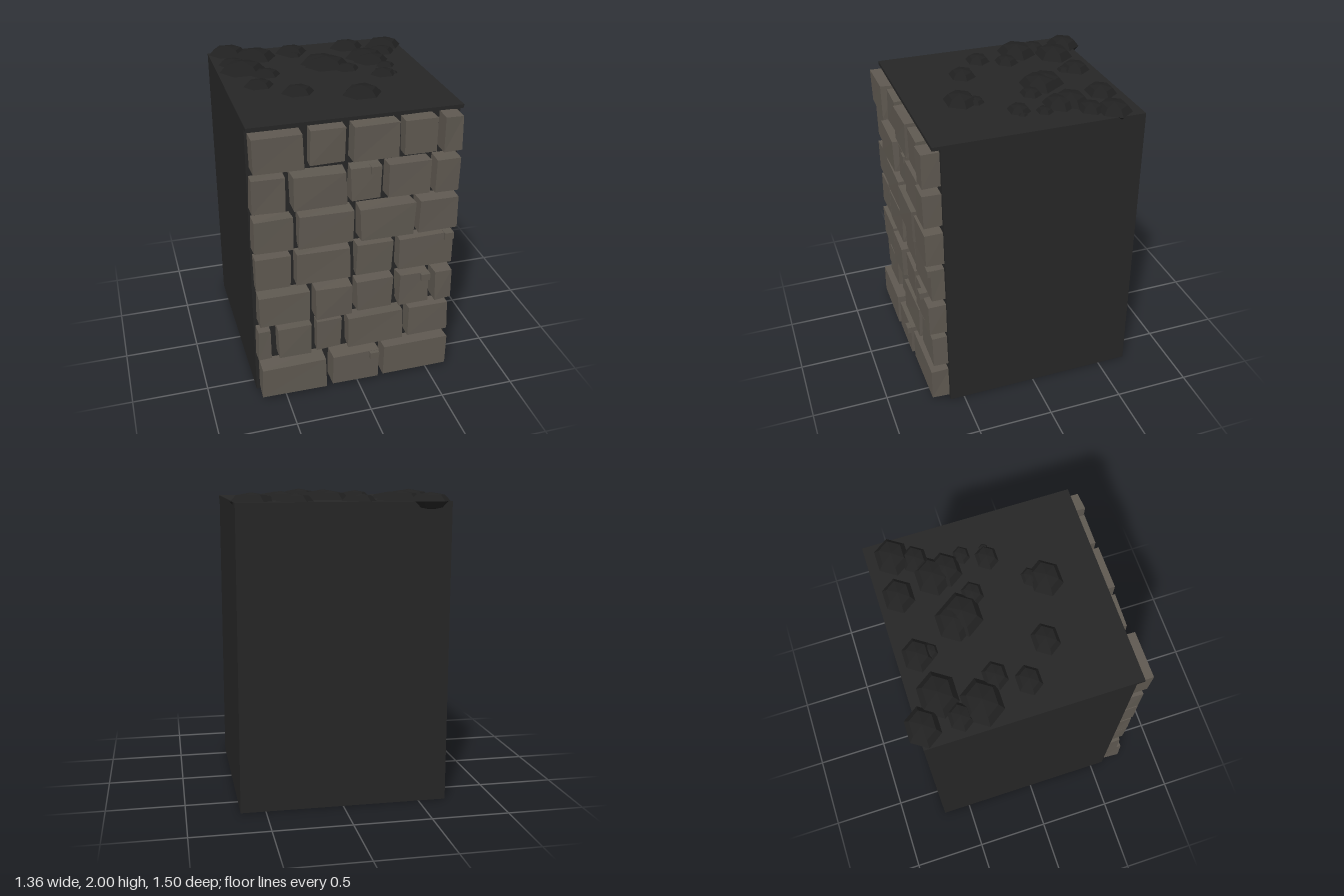
import * as THREE from 'three';

const paint = (name, color) => {
  const m = new THREE.MeshStandardMaterial({ color, flatShading: true });
  m.name = name;
  return m;
};

export function createModel() {
  const mortar = paint('dark mortar', 0x262626);
  const stone = paint('grey brown stone', 0x5f5951);
  const rubble = paint('charcoal rubble', 0x212121);

  const model = new THREE.Group();
  model.name = 'stoneWallBlock';

  let seed = 7;
  const jitter = (amount) => {
    seed = (seed * 16807) % 2147483647;
    return (seed / 2147483647 - 0.5) * 2 * amount;
  };

  const box = (name, x0, x1, y0, y1, z0, z1, material, parent = model) => {
    const geo = new THREE.BoxGeometry(x1 - x0, y1 - y0, z1 - z0);
    geo.translate((x0 + x1) / 2, (y0 + y1) / 2, (z0 + z1) / 2);
    const mesh = new THREE.Mesh(geo, material);
    mesh.name = name;
    parent.add(mesh);
    return mesh;
  };

  // Solid core and the thin top slab that overhangs the front
  box('core', -0.68, 0.66, 0, 1.912, -0.695, 0.595, mortar);
  box('topSlab', -0.68, 0.66, 1.912, 1.935, -0.695, 0.645, mortar);

  // Shift the eight corners of a brick so that it looks hand cut
  const roughen = (mesh) => {
    const p = mesh.geometry.attributes.position;
    const offsets = {};
    for (let i = 0; i < p.count; i++) {
      const key = [p.getX(i), p.getY(i), p.getZ(i)].map((v) => v.toFixed(4)).join();
      offsets[key] ??= [jitter(0.006), jitter(0.005), p.getZ(i) > 0.6 ? jitter(0.004) : 0];
      const o = offsets[key];
      p.setXYZ(i, p.getX(i) + o[0], p.getY(i) + o[1], p.getZ(i) + o[2]);
    }
    mesh.geometry.computeVertexNormals();
  };

  // Brick courses: bottom, top, then [left, right, front] for each brick
  const courses = [
    { y: [0.03, 0.25], bricks: [[-0.66, -0.225, 0.73], [-0.18, 0.135, 0.725], [0.18, 0.632, 0.715]] },
    { y: [0.305, 0.525], bricks: [[-0.67, -0.585, 0.68], [-0.54, -0.32, 0.695], [-0.278, -0.108, 0.67], [-0.065, 0.304, 0.7], [0.352, 0.632, 0.69]] },
    { y: [0.577, 0.798], bricks: [[-0.66, -0.33, 0.7], [-0.288, -0.05, 0.71], [-0.008, 0.23, 0.69], [0.278, 0.479, 0.7], [0.52, 0.638, 0.712]] },
    { y: [0.848, 1.07], bricks: [[-0.67, -0.447, 0.685], [-0.41, -0.06, 0.69], [-0.013, 0.225, 0.68], [0.267, 0.634, 0.687]] },
    { y: [1.12, 1.342], bricks: [[-0.67, -0.426, 0.69], [-0.389, -0.045, 0.7], [0, 0.352, 0.715], [0.389, 0.638, 0.71]] },
    { y: [1.393, 1.613], bricks: [[-0.67, -0.463, 0.685], [-0.426, -0.093, 0.71], [-0.055, 0.135, 0.68], [0.177, 0.447, 0.7], [0.484, 0.638, 0.713]] },
    { y: [1.665, 1.888], bricks: [[-0.664, -0.357, 0.71], [-0.31, -0.095, 0.68], [-0.05, 0.235, 0.7], [0.278, 0.475, 0.69], [0.52, 0.638, 0.71]] },
  ];
  const wall = new THREE.Group();
  wall.name = 'brickFace';
  model.add(wall);
  for (const { y, bricks } of courses) {
    for (const [x0, x1, front] of bricks) {
      roughen(box('brick', x0, x1, y[0], y[1], 0.585, front, stone, wall));
    }
  }

  // Small raised chips on the upper right corner of some bricks: right, top, front
  const chips = [[0.135, 0.25, 0.748], [0.479, 0.8, 0.725], [0.634, 1.076, 0.704], [0.128, 1.615, 0.696]];
  for (const [x, y, z] of chips) {
    box('cornerChip', x - 0.062, x, y - 0.047, y, z - 0.06, z, stone, wall);
  }

  // Six sided lumps scattered over the top: x, z, radius
  const lumps = [
    [-0.546, -0.66, 0.131], [-0.387, -0.524, 0.151], [-0.554, -0.437, 0.094], [-0.51, -0.294, 0.155],
    [-0.379, -0.175, 0.095], [-0.466, 0.004, 0.098], [-0.256, 0.179, 0.107], [-0.117, -0.568, 0.112],
    [-0.117, -0.488, 0.055], [0.022, -0.3, 0.139], [0.05, -0.242, 0.151], [0.161, -0.143, 0.083],
    [0.284, -0.568, 0.12], [0.546, -0.536, 0.131], [0.486, -0.409, 0.1], [0.343, -0.337, 0.135],
    [0.363, -0.25, 0.122], [0.427, -0.131, 0.064], [0.363, 0.012, 0.087], [0.427, 0.012, 0.036],
    [0.157, 0.222, 0.067], [0.121, 0.31, 0.128],
  ];
  const lumpShape = new THREE.SphereGeometry(1, 6, 4);
  const debris = new THREE.Group();
  debris.name = 'rubble';
  model.add(debris);
  for (const [x, z, r] of lumps) {
    const lump = new THREE.Mesh(lumpShape, rubble);
    lump.name = 'rubbleLump';
    lump.position.set(x, 1.935, z);
    lump.scale.set(r, r * 0.42, r * 0.84);
    debris.add(lump);
  }

  return model;
}
